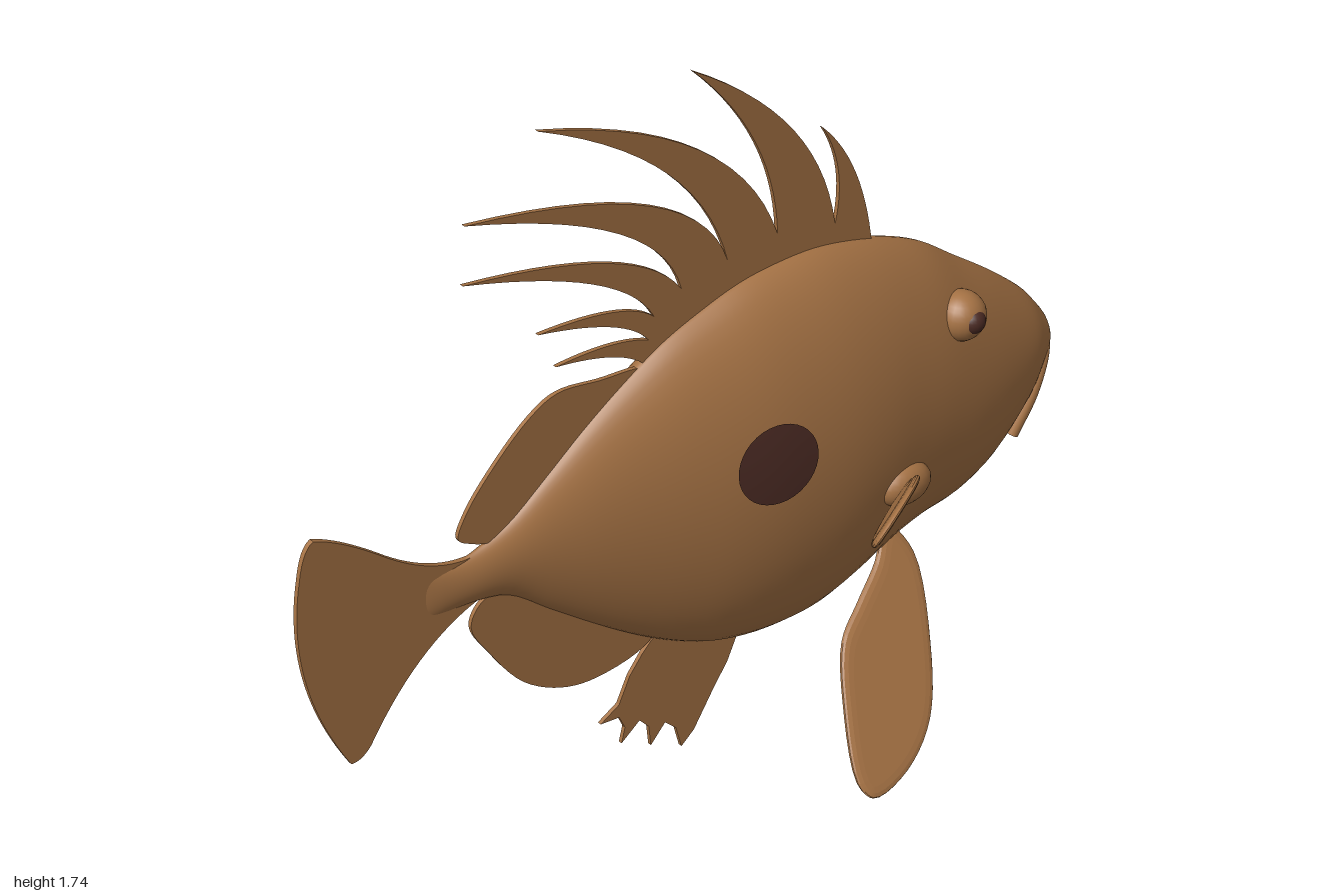
import * as THREE from 'three';

const skin = new THREE.MeshStandardMaterial({ color: 0xa57244, side: THREE.DoubleSide });
skin.name = 'bronze skin';
const dark = new THREE.MeshStandardMaterial({ color: 0x4a2a23, side: THREE.DoubleSide });
dark.name = 'dark brown';

// Body stations: x, top, bottom, half width
const stations = [
  [-0.7, 0.82, 0.71, 0.006], [-0.6, 0.825, 0.712, 0.022], [-0.5, 0.865, 0.69, 0.036],
  [-0.4, 0.94, 0.61, 0.056], [-0.3, 1.02, 0.53, 0.08], [-0.2, 1.09, 0.455, 0.104],
  [-0.1, 1.15, 0.39, 0.128], [0, 1.19, 0.34, 0.15], [0.1, 1.22, 0.312, 0.166],
  [0.2, 1.232, 0.302, 0.174], [0.3, 1.232, 0.31, 0.176], [0.4, 1.215, 0.345, 0.17],
  [0.5, 1.185, 0.39, 0.158], [0.6, 1.14, 0.42, 0.147], [0.7, 1.07, 0.437, 0.133],
  [0.8, 1.0, 0.485, 0.112], [0.9, 0.92, 0.585, 0.083], [0.95, 0.865, 0.66, 0.058],
  [0.982, 0.82, 0.715, 0.036], [0.992, 0.775, 0.755, 0.006],
];
const last = stations.length - 1;
const lengthCurve = new THREE.SplineCurve(stations.map((s) => new THREE.Vector2(s[0], 0)));
const sizeCurve = new THREE.CatmullRomCurve3(
  stations.map((s) => new THREE.Vector3(s[1], s[2], s[3])), false, 'catmullrom', 0.5);

// Half width of the body at x, y (valid behind the snout, where stations are evenly spaced)
function flankZ(x, y) {
  const s = sizeCurve.getPoint((x + 0.7) / 0.1 / last);
  const t = (y - (s.x + s.y) / 2) / ((s.x - s.y) / 2);
  return s.z * Math.pow(Math.max(0, 1 - t * t), 0.6);
}

function bodyGeometry() {
  const rings = last * 4, sides = 48, pos = [], index = [];
  for (let i = 0; i <= rings; i++) {
    const x = lengthCurve.getPoint(i / rings).x, s = sizeCurve.getPoint(i / rings);
    for (let j = 0; j < sides; j++) {
      const a = (j / sides) * Math.PI * 2, sn = Math.sin(a);
      pos.push(x, (s.x + s.y) / 2 + ((s.x - s.y) / 2) * Math.cos(a),
        s.z * Math.sign(sn) * Math.pow(Math.abs(sn), 1.2));
      if (i < rings) {
        const k = (j + 1) % sides, p = i * sides, q = p + sides;
        index.push(p + j, p + k, q + j, p + k, q + k, q + j);
      }
    }
  }
  // Snout cap
  const c = pos.length / 3, p = rings * sides;
  pos.push(0.993, 0.765, 0);
  for (let j = 0; j < sides; j++) index.push(p + j, p + ((j + 1) % sides), c);
  const g = new THREE.BufferGeometry();
  g.setAttribute('position', new THREE.Float32BufferAttribute(pos, 3));
  g.setIndex(index);
  g.computeVertexNormals();
  return g;
}

const vec = (pts) => pts.map((p) => new THREE.Vector2(p[0], p[1]));

// Smooth closed outline through points
function smoothShape(pts) {
  const c = new THREE.CatmullRomCurve3(pts.map((p) => new THREE.Vector3(p[0], p[1], 0)), true);
  return new THREE.Shape(c.getPoints(pts.length * 5).slice(0, -1).map((p) => new THREE.Vector2(p.x, p.y)));
}

function plate(shape, depth = 0.01) {
  const g = new THREE.ExtrudeGeometry(shape, { depth, bevelEnabled: false, curveSegments: 14 });
  return g.translate(0, 0, -depth / 2);
}

// Lens-edged fin whose z follows a rule in x and y
function sideFin(pts, side, rule) {
  const g = new THREE.ExtrudeGeometry(smoothShape(pts), {
    depth: 0.006, bevelThickness: 0.008, bevelSize: 0.025, bevelOffset: -0.025, bevelSegments: 3,
  });
  g.translate(0, 0, -0.003);
  const p = g.attributes.position;
  for (let i = 0; i < p.count; i++) p.setZ(i, p.getZ(i) + side * rule(p.getX(i), p.getY(i)));
  g.computeVertexNormals();
  return g;
}

// Spines: front control, tip, back control, valley behind
const spines = [
  [0.43, 1.4, 0.315, 1.51, 0.385, 1.4, 0.355, 1.27],
  [0.31, 1.55, -0.02, 1.742, 0.19, 1.54, 0.2, 1.3],
  [0.095, 1.605, -0.39, 1.73, 0, 1.56, 0.07, 1.28],
  [0, 1.52, -0.565, 1.585, -0.1, 1.46, -0.05, 1.26],
  [-0.15, 1.41, -0.575, 1.457, -0.19, 1.36, -0.12, 1.22],
  [-0.19, 1.285, -0.405, 1.283, -0.19, 1.245, -0.135, 1.17],
  [-0.22, 1.205, -0.365, 1.193, -0.21, 1.175, -0.15, 1.12],
];
function spineShape() {
  const s = new THREE.Shape();
  s.moveTo(0.46, 1.18);
  for (const [a, b, c, d, e, f, g, h] of spines) {
    s.quadraticCurveTo(a, b, c, d);
    s.quadraticCurveTo(e, f, g, h);
  }
  s.lineTo(-0.15, 1.05);
  s.lineTo(0.1, 1.15);
  s.lineTo(0.4, 1.15);
  return s;
}

// Flank spot draped over the body
function spotGeometry(side) {
  const g = new THREE.RingGeometry(0.0001, 0.097, 36, 6);
  const p = g.attributes.position;
  for (let i = 0; i < p.count; i++) {
    const x = p.getX(i) + 0.086, y = p.getY(i) * 0.96 + 0.855;
    p.setXYZ(i, x, y, side * (flankZ(x, y) + 0.004));
  }
  g.computeVertexNormals();
  return g;
}

export function createModel() {
  const model = new THREE.Group();
  model.name = 'fish';
  const add = (name, geometry, material = skin) => {
    const m = new THREE.Mesh(geometry, material);
    m.name = name;
    model.add(m);
    return m;
  };

  add('body', bodyGeometry());

  // Fins on the centre line
  add('spinyDorsalFin', plate(spineShape()));
  add('softDorsalFin', plate(smoothShape([[-0.14, 1.1], [-0.26, 1.12], [-0.365, 1.13], [-0.43, 1.1],
    [-0.53, 1.01], [-0.595, 0.93], [-0.615, 0.88], [-0.59, 0.86], [-0.53, 0.84], [-0.4, 0.88], [-0.2, 1.0]])));
  add('softAnalFin', plate(smoothShape([[-0.54, 0.71], [-0.575, 0.695], [-0.595, 0.65], [-0.55, 0.56],
    [-0.47, 0.45], [-0.375, 0.39], [-0.285, 0.373], [-0.15, 0.4], [-0.1, 0.46], [-0.3, 0.6]])));
  add('spinyAnalFin', plate(new THREE.Shape(vec([[-0.1, 0.44], [-0.16, 0.38], [-0.195, 0.335],
    [-0.225, 0.27], [-0.275, 0.24], [-0.225, 0.235], [-0.21, 0.2], [-0.22, 0.16], [-0.17, 0.2],
    [-0.145, 0.17], [-0.14, 0.115], [-0.1, 0.16], [-0.07, 0.13], [-0.055, 0.07], [-0.02, 0.1],
    [0.035, 0.19], [0.075, 0.25], [0.11, 0.33], [0.1, 0.4]]))));

  // Tail fan
  const tail = new THREE.Shape();
  tail.moveTo(-0.58, 0.825);
  tail.quadraticCurveTo(-0.68, 0.82, -0.8, 0.925);
  tail.quadraticCurveTo(-0.89, 1.0, -0.945, 1.02);
  tail.quadraticCurveTo(-0.97, 1.01, -0.983, 0.94);
  tail.quadraticCurveTo(-1.012, 0.81, -0.983, 0.67);
  tail.quadraticCurveTo(-0.96, 0.56, -0.9, 0.445);
  tail.quadraticCurveTo(-0.875, 0.44, -0.85, 0.47);
  tail.quadraticCurveTo(-0.73, 0.66, -0.58, 0.712);
  add('tailFin', plate(tail, 0.012));

  for (const side of [1, -1]) {
    const label = side > 0 ? 'left' : 'right';
    add(label + 'PelvicFin', sideFin([[0.44, 0.4], [0.36, 0.345], [0.285, 0.29], [0.235, 0.19],
      [0.197, 0.04], [0.22, 0.003], [0.33, 0.02], [0.435, 0.09], [0.505, 0.22], [0.545, 0.39], [0.5, 0.46]],
    side, (x, y) => 0.345 - 0.67 * y));
    add(label + 'PectoralFin', sideFin([[0.5, 0.655], [0.435, 0.69], [0.39, 0.755], [0.32, 0.785],
      [0.22, 0.76], [0.19, 0.715], [0.24, 0.655], [0.32, 0.615], [0.42, 0.605]],
    side, (x, y) => 0.35 - 0.59 * (x - 0.2) + 0.59 * (y - 0.715)));

    // Fleshy root of the pectoral fin
    const root = add(label + 'PectoralRoot', new THREE.SphereGeometry(1, 20, 14));
    root.scale.set(0.07, 0.05, 0.04);
    root.position.set(0.45, 0.65, side * 0.15);

    // Eye mound and pupil
    const eye = add(label + 'EyeMound', new THREE.SphereGeometry(0.058, 24, 16));
    eye.position.set(0.64, 0.985, side * 0.098);
    const pupil = add(label + 'Pupil', new THREE.SphereGeometry(0.03, 20, 14), dark);
    pupil.position.set(0.642, 0.987, side * 0.134);

    add(label + 'FlankSpot', spotGeometry(side), dark);
  }

  // Lips, wrapping around the snout
  const half = [[0.875, 0.55, 0.042], [0.925, 0.655, 0.05], [0.965, 0.745, 0.034]];
  const lip = [...half, [0.984, 0.785, 0], ...half.map(([x, y, z]) => [x, y, -z]).reverse()];
  add('lips', new THREE.TubeGeometry(
    new THREE.CatmullRomCurve3(lip.map((p) => new THREE.Vector3(...p))), 40, 0.014, 10));

  return model;
}
